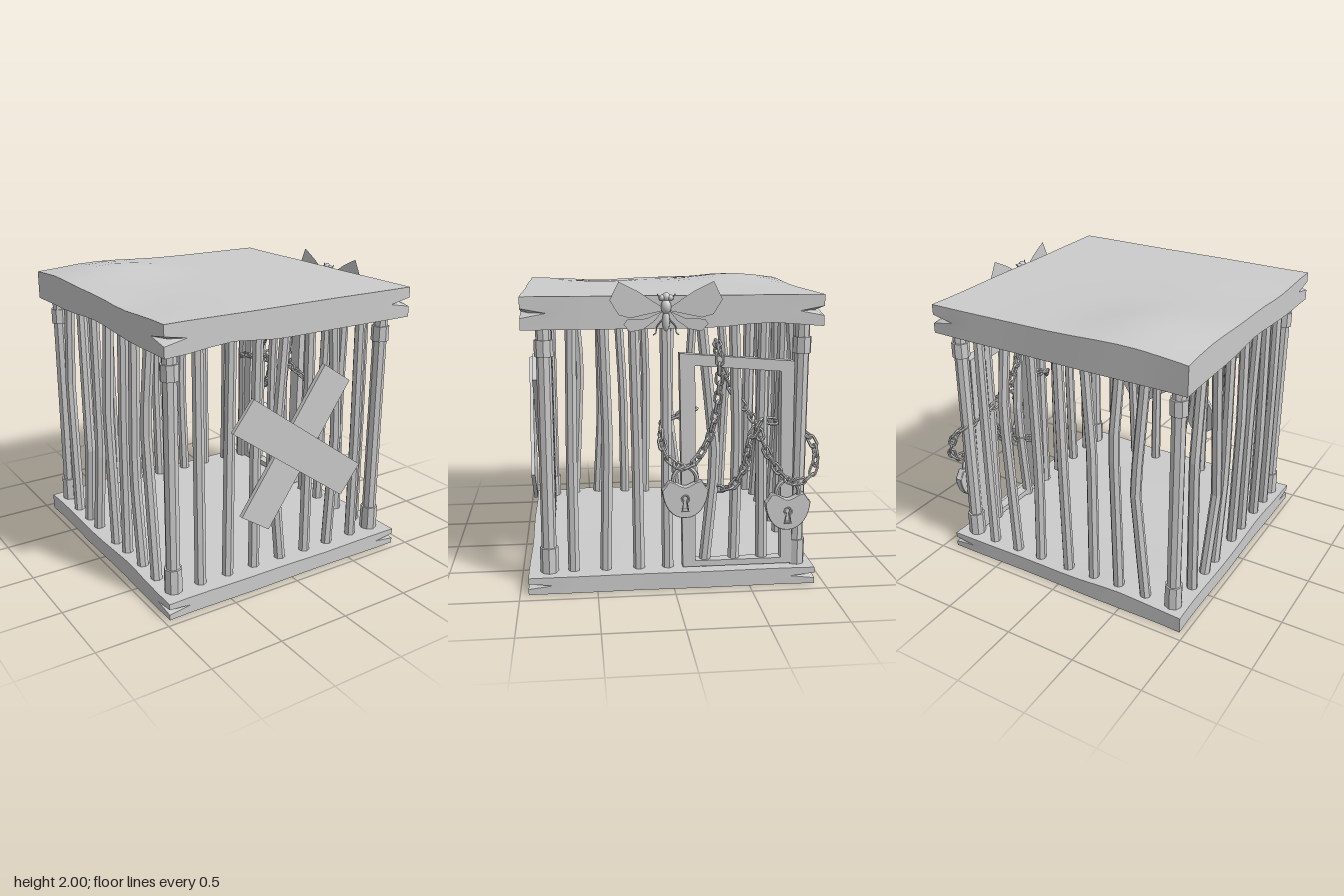
import * as THREE from 'three';
import { toCreasedNormals, mergeGeometries } from 'three/addons/utils/BufferGeometryUtils.js';

const V = (x, y, z) => new THREE.Vector3(x, y, z);
const flat = new THREE.MeshStandardMaterial({ color: 0xcccccc, flatShading: true });
const smooth = new THREE.MeshStandardMaterial({ color: 0xcccccc });
const open = new THREE.MeshStandardMaterial({ color: 0xcccccc, side: THREE.DoubleSide });
const thin = new THREE.MeshStandardMaterial({ color: 0xcccccc, flatShading: true, side: THREE.DoubleSide });
const BAR_FOOT = 0.09, BAR_HEAD = 1.73;

function add(parent, name, geometry, material = flat, x = 0, y = 0, z = 0) {
  const mesh = new THREE.Mesh(geometry, material);
  mesh.name = name;
  mesh.position.set(x, y, z);
  parent.add(mesh);
  return mesh;
}

// Move every vertex of a geometry by a rule
function warp(geometry, rule) {
  const p = geometry.attributes.position, v = V(0, 0, 0);
  for (let i = 0; i < p.count; i++) {
    v.fromBufferAttribute(p, i);
    rule(v);
    p.setXYZ(i, v.x, v.y, v.z);
  }
  geometry.computeVertexNormals();
  return geometry;
}

// Worn slab with wedge-shaped splits at three corners, optionally hollow from below
function slab(y0, y1, gap, hollow, topRise, underRise) {
  const W = 1.875, D = 1.88, H = y1 - y0;
  const box = new THREE.BoxGeometry(W, H, D, 12, 4, 12);
  if (hollow) {
    const { start, count } = box.groups[3];
    box.setIndex([...box.index.array].filter((_, i) => i < start || i >= start + count));
  }
  box.clearGroups();
  warp(box, v => {
    const row = Math.round((v.y / H + 0.5) * 4);
    const { x, z } = v;
    const edgeX = Math.abs(x) > W / 2 - 0.01, edgeZ = Math.abs(z) > D / 2 - 0.01;
    const corner = edgeX && edgeZ, split = corner && !(x < 0 && z < 0);
    const g = split ? gap : 0.0005, mid = (y0 + y1) / 2;
    v.y = [y0 + underRise(x, z), mid - g, mid, mid + g, y1 + topRise(x, z)][row];
    if (!corner && edgeX) v.x -= Math.sign(x) * 0.003 * (1 + Math.sin(z * 7));
    if (!corner && edgeZ) v.z -= Math.sign(z) * 0.003 * (1 + Math.sin(x * 6));
    if (split && row === 2) {
      v.x -= Math.sign(x) * 0.05;
      v.z -= Math.sign(z) * 0.05;
    }
    v.x -= 0.024;
    v.z += 0.005;
  });
  return toCreasedNormals(box, 0.5);
}

// Bar of seven sides, bent along the wall and out of it
function bar(along, [top, midY, mid, bottom, out = 0]) {
  return warp(new THREE.CylinderGeometry(0.036, 0.039, BAR_HEAD - BAR_FOOT, 7, 8), v => {
    v.y += (BAR_HEAD + BAR_FOOT) / 2;
    const t = v.y > midY ? (BAR_HEAD - v.y) / (BAR_HEAD - midY) : (v.y - BAR_FOOT) / (midY - BAR_FOOT);
    const u = (v.y > midY ? top : bottom) * (1 - t) + mid * t, w = out * t;
    if (along === 'x') { v.x += u; v.z += w; } else { v.z += u; v.x += w; }
  });
}

// Chain of oval links, each turned a quarter from the last
function chain(points) {
  const curve = new THREE.CatmullRomCurve3(points.map(p => V(...p)));
  const n = Math.round(curve.getLength() / 0.062), links = [];
  for (let i = 0; i <= n; i++) {
    const link = new THREE.TorusGeometry(0.023, 0.0095, 6, 10);
    warp(link, v => { v.x += v.x > 0.001 ? 0.018 : v.x < -0.001 ? -0.018 : 0; });
    link.rotateX((i % 2) * Math.PI / 2 + 0.4);
    const q = new THREE.Quaternion().setFromUnitVectors(V(1, 0, 0), curve.getTangentAt(i / n));
    link.applyQuaternion(q);
    const c = curve.getPointAt(i / n);
    links.push(link.translate(c.x, c.y, c.z));
  }
  return mergeGeometries(links);
}

function keyhole(path, r, low) {
  path.moveTo(-r * 0.5, -r * 0.8);
  path.lineTo(-r * 0.85, low);
  path.lineTo(r * 0.85, low);
  path.lineTo(r * 0.5, -r * 0.8);
  path.absarc(0, 0, r, -1.02, Math.PI + 1.02, false);
  return path;
}

// Heart-shaped padlock with shackle and rimmed keyhole
function padlock(x, y, z) {
  const g = new THREE.Group();
  g.name = 'padlock';
  const heart = new THREE.Shape();
  heart.moveTo(0, -0.125);
  heart.bezierCurveTo(0.09, -0.125, 0.14, -0.04, 0.146, 0.06);
  heart.bezierCurveTo(0.12, 0.08, 0.115, 0.11, 0.1, 0.115);
  heart.bezierCurveTo(0.06, 0.11, 0.04, 0.08, 0, 0.075);
  heart.bezierCurveTo(-0.04, 0.08, -0.06, 0.11, -0.1, 0.115);
  heart.bezierCurveTo(-0.115, 0.11, -0.12, 0.08, -0.146, 0.06);
  heart.bezierCurveTo(-0.14, -0.04, -0.09, -0.125, 0, -0.125);
  heart.holes.push(keyhole(new THREE.Path(), 0.02, -0.075));
  add(g, 'lockBody', new THREE.ExtrudeGeometry(heart, {
    depth: 0.04, bevelSize: 0.004, bevelThickness: 0.006, bevelSegments: 1, curveSegments: 8 }), flat, 0, 0, -0.02);
  add(g, 'lockCore', new THREE.BoxGeometry(0.06, 0.11, 0.02), flat, 0, -0.025, 0);
  const rim = keyhole(new THREE.Shape(), 0.029, -0.084);
  rim.holes.push(keyhole(new THREE.Path(), 0.021, -0.076));
  add(g, 'keyholeRim', new THREE.ExtrudeGeometry(rim, { depth: 0.01, bevelEnabled: false, curveSegments: 8 }), flat, 0, 0, 0.025);
  const bow = new THREE.CatmullRomCurve3([V(-0.07, 0.07, 0), V(-0.074, 0.14, 0), V(-0.045, 0.19, 0),
    V(0, 0.207, 0), V(0.045, 0.19, 0), V(0.074, 0.14, 0), V(0.07, 0.07, 0)]);
  add(g, 'shackle', new THREE.TubeGeometry(bow, 18, 0.016, 7));
  g.position.set(x, y, z);
  g.rotation.y = Math.PI / 2;
  return g;
}

// Moth resting on the edge of the roof
function moth() {
  const g = new THREE.Group();
  g.name = 'moth';
  const wings = {
    upperWing: [[0.02, 0.02], [0.17, 0.12], [0.29, 0.18], [0.315, 0.13], [0.345, 0.07], [0.29, -0.02], [0.22, -0.04], [0.03, 0]],
    lowerWing: [[0.02, 0], [0.12, -0.045], [0.24, -0.05], [0.26, -0.08], [0.22, -0.125], [0.14, -0.11], [0.07, -0.06]] };
  for (const s of [-1, 1]) {
    for (const [name, pts] of Object.entries(wings)) {
      const geo = new THREE.ShapeGeometry(new THREE.Shape(pts.map(p => new THREE.Vector2(...p))));
      const wing = add(g, name, geo, thin, 0, 0, name === 'upperWing' ? 0.008 : 0);
      wing.scale.x = s;
      wing.rotation.y = -s * 0.05;
    }
    const feeler = [V(s * 0.01, 0.08, 0.01), V(s * 0.045, 0.09, 0.02), V(s * 0.055, 0.105, 0.02)];
    const leg = [V(s * 0.02, -0.05, 0), V(s * 0.06, -0.1, 0.01), V(s * 0.06, -0.13, 0.01), V(s * 0.08, -0.145, 0.01)];
    for (const [name, pts] of [['feeler', feeler], ['leg', leg]])
      add(g, name, new THREE.TubeGeometry(new THREE.CatmullRomCurve3(pts), 6, 0.004, 4));
    add(g, 'eye', new THREE.SphereGeometry(0.02, 8, 6), smooth, s * 0.026, 0.08, 0.01);
  }
  for (const [name, y, r, h] of [['head', 0.085, 0.026, 0.028], ['thorax', 0.025, 0.033, 0.045], ['abdomen', -0.06, 0.024, 0.065]])
    add(g, name, new THREE.SphereGeometry(r, 10, 8), smooth, 0, y, 0.005).scale.y = h / r;
  g.position.set(0.925, 1.82, 0.06);
  g.rotation.y = Math.PI / 2;
  return g;
}

export function createModel() {
  const cage = new THREE.Group();
  cage.name = 'cage';
  const hump = (a, b, s) => Math.exp(-(a * a + b * b) / (s * s));

  // Floor and roof
  add(cage, 'floor', slab(0, 0.112, 0.018, true,
    (x, z) => 0.025 * hump(x + 0.45, z + 0.9, 0.25) + 0.02 * hump(x + 0.9, z - 0.4, 0.25) - 0.01 * hump(x - 0.3, z - 0.9, 0.25),
    () => 0), open);
  add(cage, 'roof', slab(1.71, 1.912, 0.03, false,
    (x, z) => 0.055 * hump(x + 0.48, z + 0.6, 0.36) - 0.02 * hump(x + 0.9, z - 0.4, 0.25) - 0.012 * hump(x + 0.94, z + 0.94, 0.2),
    (x, z) => 0.035 * hump(x + 0.48, z - 0.93, 0.22) + 0.03 * hump(x - 0.93, z + 0.6, 0.25) + 0.03 * hump(x + 0.93, z, 0.3)), smooth);

  // Corner posts with collars
  for (const x of [-0.857, 0.795]) for (const z of [-0.83, 0.81]) {
    add(cage, 'post', new THREE.CylinderGeometry(0.048, 0.048, BAR_HEAD - BAR_FOOT, 8), flat, x, (BAR_HEAD + BAR_FOOT) / 2, z);
    add(cage, 'upperCollar', new THREE.CylinderGeometry(0.06, 0.06, 0.105, 8), flat, x, 1.585, z);
    add(cage, 'lowerCollar', new THREE.CylinderGeometry(0.06, 0.06, 0.185, 8), flat, x, 0.188, z);
  }

  // Bent bars per wall: [top, bend height, bend, bottom, outward bend]
  const walls = [
    ['frontBar', 'x', 0.82, [[-0.67, 0.9, -0.665, -0.66], [-0.43, 1, -0.44, -0.45], [-0.23, 0.9, -0.24, -0.24],
      [-0.02, 0.75, -0.09, -0.02], [0.18, 0.9, 0.19, 0.19], [0.37, 0.95, 0.43, 0.39], [0.6, 0.9, 0.61, 0.61]]],
    ['backBar', 'x', -0.85, [[-0.64, 0.95, -0.59, -0.66, -0.03], [-0.46, 1.25, -0.44, -0.45, -0.04], [-0.21, 1.1, -0.25, -0.25],
      [-0.01, 1, -0.04, -0.04, -0.03], [0.2, 0.8, 0.18, 0.2], [0.4, 1.25, 0.42, 0.4, -0.04], [0.62, 1.1, 0.62, 0.61]]],
    ['rightBar', 'z', 0.79, [[0.64, 0.9, 0.65, 0.65], [0.44, 1, 0.42, 0.44], [0.25, 0.9, 0.23, 0.22], [0.05, 0.9, 0.04, 0.03],
      [-0.18, 0.85, -0.28, -0.21], [-0.39, 1, -0.42, -0.41], [-0.58, 1, -0.58, -0.6]]],
    ['leftBar', 'z', -0.88, [[0.61, 1.2, 0.57, 0.63, -0.02], [0.41, 0.8, 0.4, 0.44, -0.02], [0.26, 1, 0.22, 0.21], [0.05, 1.1, 0.03, 0.04, -0.02],
      [-0.17, 0.8, -0.16, -0.25], [-0.37, 0.7, -0.31, -0.41, -0.015], [-0.58, 1.1, -0.64, -0.6]]]];
  for (const [name, along, at, bars] of walls) for (const b of bars)
    add(cage, name, bar(along, b), flat, along === 'x' ? 0 : at, 0, along === 'x' ? at : 0);

  // Crooked door frame in the right wall (shape drawn in -z and y)
  const outline = (path, pts) => path.setFromPoints(pts.map(p => new THREE.Vector2(...p)));
  const frame = outline(new THREE.Shape(), [[0.065, 0.12], [0.795, 0.12], [0.775, 1.485], [0.035, 1.545]]);
  frame.holes.push(outline(new THREE.Path(), [[0.15, 0.16], [0.135, 1.465], [0.69, 1.42], [0.72, 0.16]]));
  add(cage, 'doorFrame', new THREE.ExtrudeGeometry(frame, { depth: 0.07, bevelEnabled: false }), flat, 0.77, 0, 0).rotation.y = Math.PI / 2;

  // Crossed planks over the front bars
  const lower = add(cage, 'plank', new THREE.BoxGeometry(1.13, 0.26, 0.03), flat, 0.04, 0.93, 0.88);
  lower.rotation.set(0.015, 0, 0.98);
  const upper = add(cage, 'plank', new THREE.BoxGeometry(1.13, 0.25, 0.025), flat, 0.04, 0.93, 0.92);
  upper.rotation.set(0.05, 0, -0.62);

  // Chains looped over the door and around the bars
  add(cage, 'chain', chain([[0.7, 1.48, -0.31], [0.78, 1.6, -0.28], [0.89, 1.55, -0.28], [0.88, 1.2, -0.27], [0.87, 0.95, -0.2],
    [0.89, 0.82, -0.08], [0.89, 0.88, 0.04], [0.85, 1.0, 0.08], [0.74, 1.08, 0.05], [0.72, 1.15, -0.13]]));
  add(cage, 'chain', chain([[0.68, 1.45, -0.31], [0.7, 1.25, -0.42], [0.72, 1.14, -0.5], [0.8, 1.08, -0.54], [0.88, 0.97, -0.57],
    [0.9, 0.8, -0.66], [0.91, 0.71, -0.76], [0.91, 0.73, -0.87], [0.89, 0.84, -0.92], [0.83, 0.97, -0.9], [0.73, 1.05, -0.76], [0.73, 1.08, -0.6]]));
  add(cage, 'chain', chain([[0.72, 0.63, -0.22], [0.8, 0.64, -0.29], [0.85, 0.67, -0.38], [0.86, 0.8, -0.46], [0.86, 1.0, -0.5], [0.85, 1.08, -0.55]]));

  cage.add(padlock(0.88, 0.61, -0.07), padlock(0.88, 0.505, -0.745), moth());
  return cage;
}
